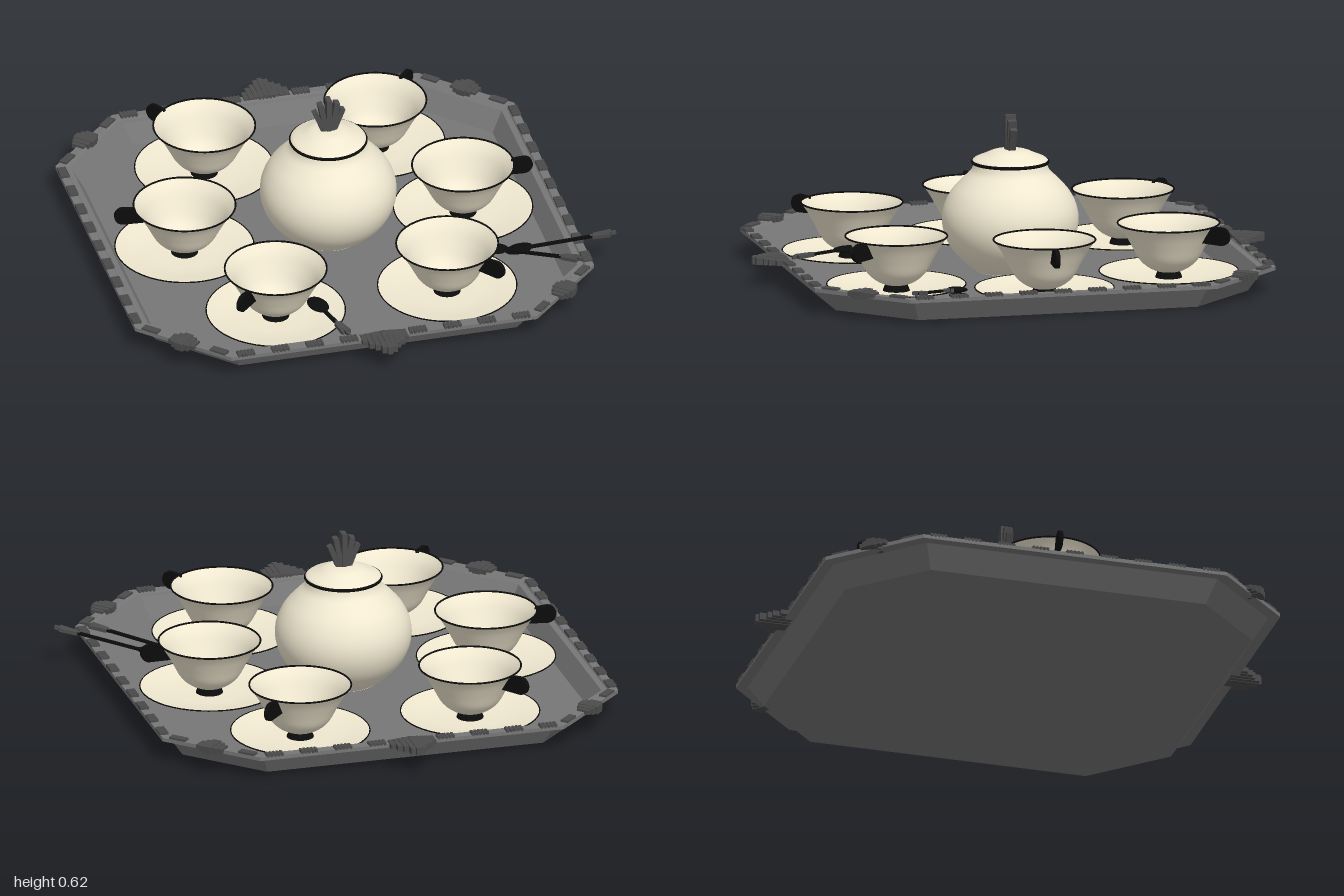
import * as THREE from 'three';

const mat = (color, extra = {}) => new THREE.MeshStandardMaterial({ color, ...extra });
const cream = mat(0xf0e8d0, { side: THREE.DoubleSide });
const black = mat(0x0c0c0c);
const steel = mat(0x777777, { flatShading: true });
const dark = mat(0x4c4c4c, { flatShading: true });

function add(parent, name, geometry, material, x = 0, y = 0, z = 0) {
  const mesh = new THREE.Mesh(geometry, material);
  mesh.name = name;
  mesh.position.set(x, y, z);
  parent.add(mesh);
  return mesh;
}

function group(parent, name, x = 0, y = 0, z = 0) {
  const g = new THREE.Group();
  g.name = name;
  g.position.set(x, y, z);
  parent.add(g);
  return g;
}

const box = (w, h, d) => new THREE.BoxGeometry(w, h, d);
const lathe = (pts) => new THREE.LatheGeometry(pts.map(([r, y]) => new THREE.Vector2(r, y)), 48);
const smoothLathe = (pts, n = 24) =>
  new THREE.LatheGeometry(new THREE.SplineCurve(pts.map(([r, y]) => new THREE.Vector2(r, y))).getPoints(n), 48);
function ring(radius, tube) {
  return new THREE.TorusGeometry(radius, tube, 6, 48).rotateX(Math.PI / 2);
}

// Octagonal shell from sections [half width, half straight edge, height]
function octagonShell(sections) {
  const loops = sections.map(([h, c, y]) =>
    [[h, -c], [h, c], [c, h], [-c, h], [-h, c], [-h, -c], [-c, -h], [c, -h]].map(([x, z]) => [x, y, z]));
  const pos = [];
  for (let j = 0; j < loops.length - 1; j++) {
    for (let i = 0; i < 8; i++) {
      const k = (i + 1) % 8;
      const a = loops[j][i], b = loops[j + 1][i], c = loops[j + 1][k], d = loops[j][k];
      pos.push(...a, ...b, ...c, ...a, ...c, ...d);
    }
  }
  const g = new THREE.BufferGeometry();
  g.setAttribute('position', new THREE.Float32BufferAttribute(pos, 3));
  g.computeVertexNormals();
  return g;
}

function makeTray(parent) {
  const tray = group(parent, 'tray', -0.06);
  add(tray, 'trayBody', octagonShell([
    [0, 0, 0], [0.805, 0.545, 0], [0.86, 0.575, 0.085], [0.9, 0.6, 0.085], [0.9, 0.6, 0.1],
    [0.87, 0.585, 0.1], [0.865, 0.58, 0.092], [0.842, 0.57, 0.092], [0.8, 0.545, 0.015], [0, 0, 0.015],
  ]), steel);

  for (let s = 0; s < 4; s++) {
    // Ribbed blocks along each straight edge
    const side = group(tray, 'rimSide');
    side.rotation.y = s * Math.PI / 2;
    for (let i = -4; i <= 4; i++) {
      add(side, 'rimBlock', box(0.068, 0.008, 0.03), dark, i * 0.135, 0.103, 0.885);
      for (let r = -2; r <= 2; r++) {
        add(side, 'rimRib', box(0.008, 0.012, 0.034), dark, i * 0.135 + r * 0.014, 0.103, 0.885);
      }
    }
    // Stepped ornament and small blocks on each cut corner
    const corner = group(tray, 'rimCorner');
    corner.rotation.y = s * Math.PI / 2 + Math.PI / 4;
    for (const m of [-1, 1]) add(corner, 'rimBlock', box(0.068, 0.01, 0.03), dark, m * 0.15, 0.103, 1.045);
    [[0.11, 0.05, 0.018], [0.075, 0.07, 0.024], [0.035, 0.085, 0.03]].forEach(([w, d, h]) =>
      add(corner, 'cornerOrnament', box(w, h, d), dark, 0, 0.1, 1.055));
  }

  // Stepped fan grips at front and back
  for (const m of [-1, 1]) {
    const grip = group(tray, 'trayGrip');
    for (let i = -4; i <= 4; i++) {
      const a = Math.abs(i), reach = [1, 0.99, 0.965, 0.95, 0.925][a];
      add(grip, 'gripBar', box(0.019, 0.03 - a * 0.003, reach - 0.87), dark,
        i * 0.02, 0.096, m * (reach + 0.87) / 2);
    }
  }
}

function makePot(parent) {
  const pot = group(parent, 'pot', -0.045, 0, -0.005);
  add(pot, 'potBody', smoothLathe([
    [0.13, 0.016], [0.175, 0.05], [0.222, 0.1], [0.25, 0.155], [0.26, 0.21], [0.252, 0.265],
    [0.225, 0.32], [0.185, 0.365], [0.15, 0.4], [0.138, 0.43],
  ], 36), cream);
  add(pot, 'potBase', new THREE.CylinderGeometry(0.13, 0.13, 0.004, 48), cream, 0, 0.017);
  add(pot, 'lidBand', ring(0.143, 0.007), black, 0, 0.434);
  add(pot, 'lid', smoothLathe([[0.146, 0.437], [0.135, 0.447], [0.1, 0.462], [0.06, 0.478], [0.0001, 0.484]]), cream);

  // Fan shaped knob
  const knob = group(pot, 'lidKnob', 0, 0.47);
  for (let i = -2; i <= 2; i++) {
    const a = Math.abs(i), len = [0.145, 0.13, 0.105][a];
    const bar = group(knob, 'knobRay', i * 0.008);
    bar.rotation.z = -i * 0.19;
    add(bar, 'knobBar', box(0.02, len, 0.042 - a * 0.008), dark, 0, len / 2);
  }
  add(knob, 'knobFoot', box(0.05, 0.03, 0.03), dark, 0, 0.012);
}

// Solid rounded handle, pointing along +x
function handleGeometry() {
  const s = new THREE.Shape();
  s.moveTo(0.15, 0.172);
  s.lineTo(0.235, 0.17);
  s.absarc(0.235, 0.205, 0.035, -Math.PI / 2, Math.PI / 2, false);
  s.lineTo(0.193, 0.236);
  s.closePath();
  return new THREE.ExtrudeGeometry(s, { depth: 0.016, bevelEnabled: false, curveSegments: 12 }).translate(0, 0, -0.008);
}

function makeCup(parent, x, z, dx, dz) {
  const cup = group(parent, 'cupAndSaucer', x, 0, z);
  cup.rotation.y = -Math.atan2(dz, dx);
  add(cup, 'saucer', lathe([
    [0.0001, 0.016], [0.12, 0.016], [0.2, 0.029], [0.265, 0.047], [0.265, 0.051],
    [0.2, 0.036], [0.12, 0.025], [0.0001, 0.025],
  ]), cream);
  add(cup, 'saucerEdge', ring(0.2645, 0.0025), black, 0, 0.05);
  add(cup, 'cupFoot', new THREE.CylinderGeometry(0.042, 0.052, 0.026, 32), black, 0, 0.037);
  add(cup, 'cupOuter', smoothLathe([
    [0.0001, 0.046], [0.045, 0.05], [0.085, 0.07], [0.115, 0.1], [0.142, 0.15], [0.17, 0.2], [0.195, 0.235],
  ]), cream);
  add(cup, 'cupInner', smoothLathe([
    [0.195, 0.235], [0.165, 0.2], [0.137, 0.15], [0.109, 0.102], [0.08, 0.076], [0.045, 0.058], [0.0001, 0.054],
  ]), cream);
  add(cup, 'cupRim', ring(0.194, 0.0035), black, 0, 0.235);
  // Handle stops at the wall of the cup
  const handle = handleGeometry();
  const p = handle.attributes.position;
  for (let i = 0; i < p.count; i++) {
    if (p.getX(i) < 0.16) p.setX(i, 0.153);
  }
  add(cup, 'cupHandle', handle, black);
}

// Spoon from the middle of its bowl to the tip of its handle
function makeSpoon(parent, from, to) {
  const a = new THREE.Vector3(...from), b = new THREE.Vector3(...to), len = a.distanceTo(b);
  const spoon = group(parent, 'spoon', ...from);
  spoon.lookAt(b);
  add(spoon, 'spoonBowl', new THREE.SphereGeometry(1, 20, 12).scale(0.037, 0.011, 0.055), black);
  add(spoon, 'spoonStem', box(0.013, 0.01, len - 0.04), black, 0, 0, len / 2);
  // Stepped fan at the handle end
  for (let i = -1; i <= 1; i++) {
    const bar = add(spoon, 'spoonFan', box(0.011, 0.014, i ? 0.07 : 0.1), dark, i * 0.011, 0, len - (i ? 0.055 : 0.05));
    bar.rotation.y = i * 0.1;
  }
}

export function createModel() {
  const model = new THREE.Group();
  model.name = 'teaSet';
  makeTray(model);
  makePot(model);

  // Position of each cup, then the direction of its handle
  [
    [-0.395, -0.53, -0.16, -0.2], [0.28, -0.545, 0.19, -0.19], [-0.61, 0.0, -0.265, -0.03],
    [0.485, -0.01, 0.265, 0.01], [-0.39, 0.53, -0.195, 0.185], [0.285, 0.52, 0.165, 0.205],
  ].forEach((c) => makeCup(model, ...c));

  makeSpoon(model, [0.52, 0.065, 0.34], [0.805, 0.115, 0.575]);
  makeSpoon(model, [0.61, 0.06, 0.355], [0.957, 0.155, 0.48]);
  makeSpoon(model, [-0.24, 0.085, 0.59], [-0.175, 0.075, 0.815]);
  return model;
}
